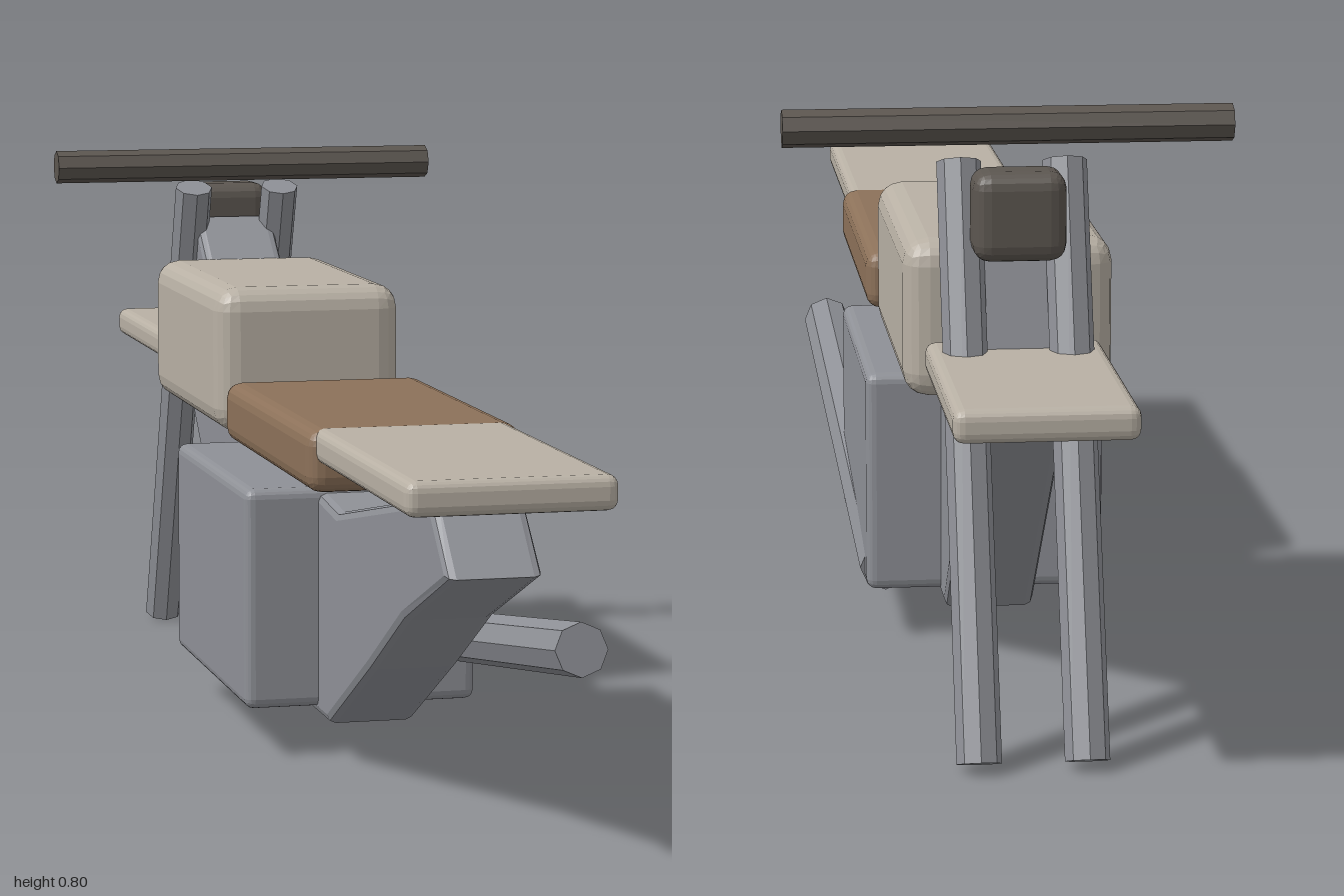
import * as THREE from 'three';
import { RoundedBoxGeometry } from 'three/addons/geometries/RoundedBoxGeometry.js';

const paint = (color) => new THREE.MeshStandardMaterial({ color, flatShading: true });

export function createModel() {
  const model = new THREE.Group();
  model.name = 'motorcycle';
  const metal = paint(0x8e9096), cream = paint(0xb8b0a4), leather = paint(0x8c7159), dark = paint(0x5c5650);

  const add = (name, geometry, material) => {
    const mesh = new THREE.Mesh(geometry, material);
    mesh.name = name;
    model.add(mesh);
    return mesh;
  };

  // Soft-edged block, symmetric in x, given by its y and z ranges
  const block = (name, halfWidth, [y0, y1], [z0, z1], radius, material) => {
    const geometry = new RoundedBoxGeometry(halfWidth * 2, y1 - y0, z1 - z0, 2, radius);
    add(name, geometry, material).position.set(0, (y0 + y1) / 2, (z0 + z1) / 2);
  };

  // Eight-sided bar between two points
  const bar = (name, from, to, radius, material) => {
    const a = new THREE.Vector3(...from), b = new THREE.Vector3(...to);
    const axis = b.clone().sub(a);
    const mesh = add(name, new THREE.CylinderGeometry(radius, radius, axis.length(), 8), material);
    mesh.position.copy(a).add(b).multiplyScalar(0.5);
    mesh.quaternion.setFromUnitVectors(new THREE.Vector3(0, 1, 0), axis.normalize());
  };

  // Frame: bevelled side profile (z, y) extruded across the width
  const profile = [
    [0.92, 0.37], [0.83, 0.46], [0.34, 0.365], [-0.25, 0.42], [-0.46, 0.57], [-0.61, 0.69],
    [-0.68, 0.42], [-0.3, 0.06], [0.29, 0.06], [0.52, 0.18], [0.7, 0.28],
  ].map(([z, y]) => new THREE.Vector2(z, y));
  const bevel = 0.012, halfWidth = 0.062;
  const frame = new THREE.ExtrudeGeometry(new THREE.Shape(profile), {
    depth: 2 * (halfWidth - bevel), bevelThickness: bevel, bevelSize: bevel,
    bevelOffset: -bevel, bevelSegments: 2,
  });
  frame.translate(0, 0, -(halfWidth - bevel)).rotateY(-Math.PI / 2);
  add('frame', frame, metal);

  // Body
  block('engine', 0.166, [0.072, 0.383], [-0.25, 0.235], 0.014, metal);
  block('fuelTank', 0.138, [0.418, 0.63], [-0.565, -0.078], 0.034, cream);
  block('seat', 0.146, [0.421, 0.506], [0, 0.535], 0.022, leather);
  block('rearFender', 0.135, [0.461, 0.506], [0.5, 1], 0.014, cream);
  block('frontFender', 0.115, [0.463, 0.506], [-1, -0.595], 0.014, cream);
  block('headlight', 0.06, [0.625, 0.741], [-0.7, -0.618], 0.022, dark);

  // Steering
  for (const [side, name] of [[1, 'leftFork'], [-1, 'rightFork']]) {
    bar(name, [side * 0.069, 0.013, -0.853], [side * 0.069, 0.739, -0.583], 0.029, metal);
  }
  bar('handlebar', [-0.295, 0.778, -0.54], [0.295, 0.778, -0.54], 0.025, dark);

  // Exhaust along the left side
  bar('exhaust', [0.137, 0.096, -0.21], [0.156, 0.246, 0.775], 0.036, metal);

  return model;
}
